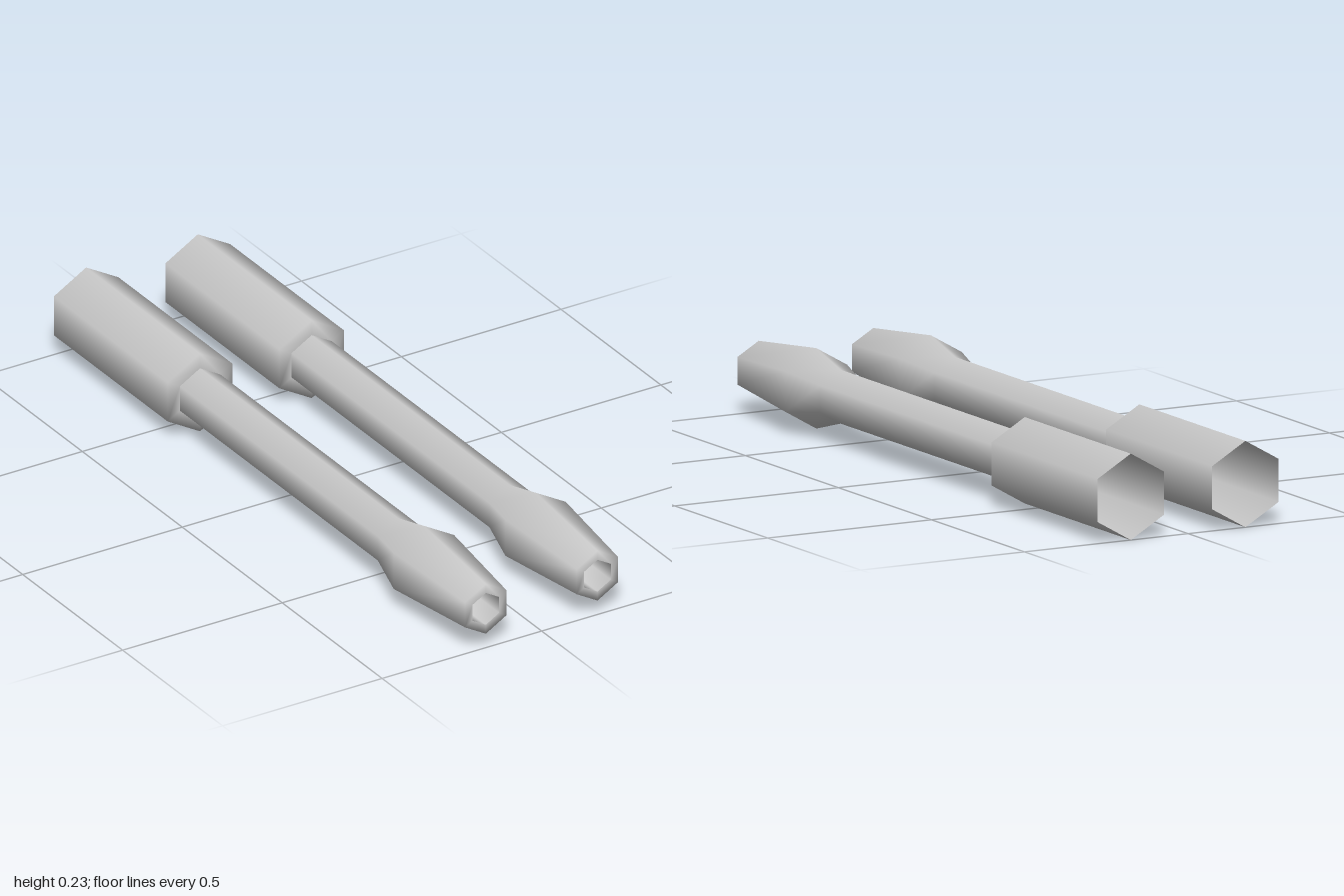
import * as THREE from 'three';

const RADIUS = 0.117;   // corner radius of the rear sleeve
const SPACING = 0.175;  // distance of each barrel from the centre line

// Six-sided lathe running along z, with a corner pointing up.
function hexLathe(name, profile, material) {
  const points = profile.map(([radius, z]) => new THREE.Vector2(radius, z));
  const geometry = new THREE.LatheGeometry(points, 6);
  geometry.rotateX(Math.PI / 2);
  const mesh = new THREE.Mesh(geometry, material);
  mesh.name = name;
  return mesh;
}

export function createModel() {
  const model = new THREE.Group();
  model.name = 'twinBarrels';
  const material = new THREE.MeshStandardMaterial({ color: 0xcccccc, side: THREE.DoubleSide });

  for (const side of [1, -1]) {
    const barrel = new THREE.Group();
    barrel.name = side > 0 ? 'leftBarrel' : 'rightBarrel';

    // Sleeve, open at the back, with a shoulder down to the tube
    barrel.add(hexLathe('rearSleeve', [[RADIUS, -1], [RADIUS, -0.43], [0.073, -0.43]], material));

    // Tube, flared muzzle and front rim
    barrel.add(hexLathe('tubeAndMuzzle', [
      [0.073, -0.43], [0.073, 0.56], [0.109, 0.69], [0.075, 1], [0.048, 1],
    ], material));

    // Blind bore in the muzzle
    barrel.add(hexLathe('bore', [[0.048, 1], [0.048, 0.9], [0, 0.9]], material));

    barrel.position.set(side * SPACING, RADIUS, 0);
    model.add(barrel);
  }
  return model;
}
